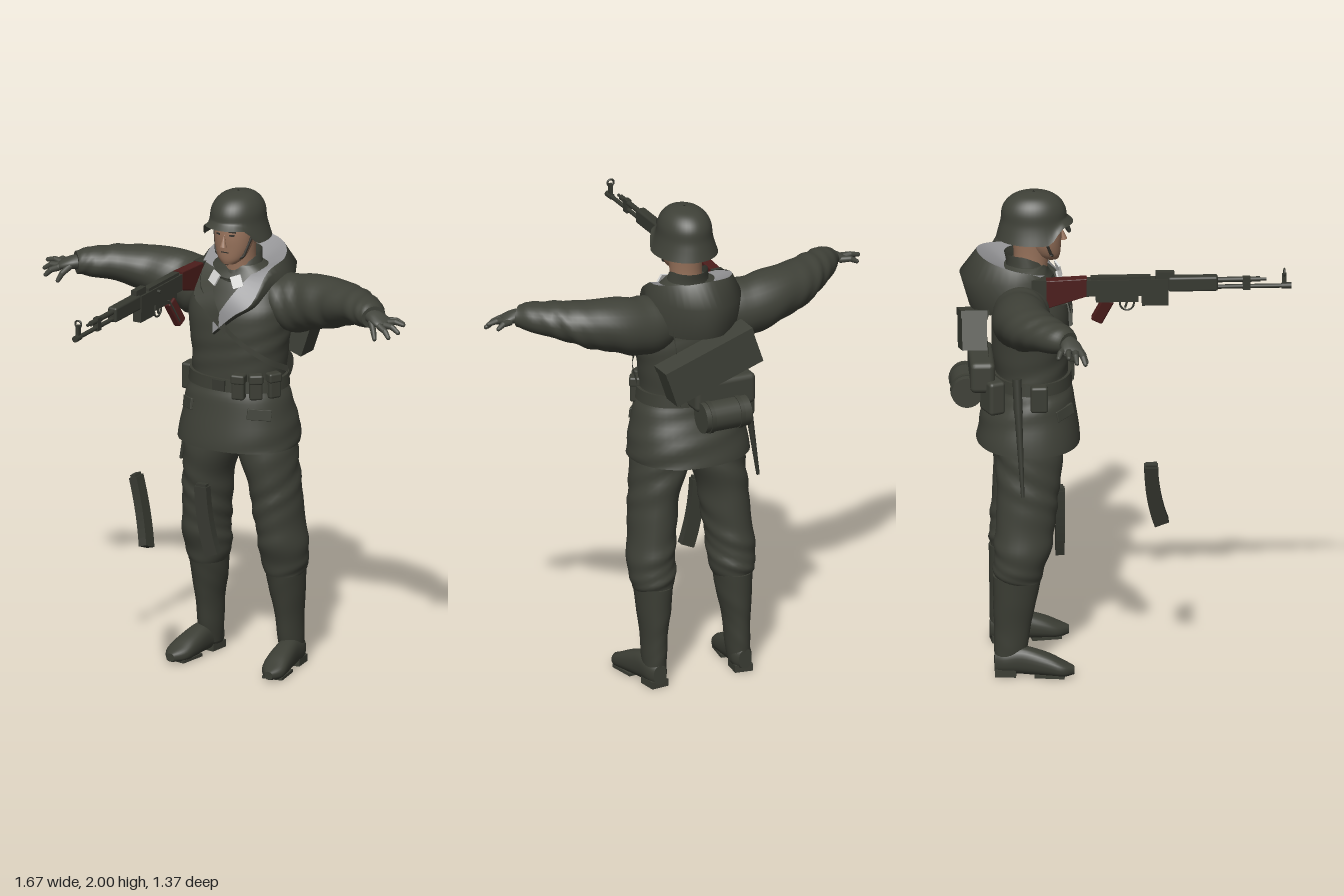
import * as THREE from 'three';
import { RoundedBoxGeometry } from 'three/addons/geometries/RoundedBoxGeometry.js';

const V = (x, y, z) => new THREE.Vector3(x, y, z);

export function createModel() {
  const root = new THREE.Group();
  const mat = (name, color, side = THREE.FrontSide) => {
    const m = new THREE.MeshStandardMaterial({ color, side });
    m.name = name;
    return m;
  };
  const cloth = mat('field cloth', 0x3f4138, THREE.DoubleSide);
  const boot = mat('boot leather', 0x3b3d34);
  const glove = mat('glove', 0x44463e);
  const steel = mat('gun steel', 0x373931);
  const wood = mat('red brown wood', 0x4c1d1b);
  const skin = mat('skin', 0x97725b);
  const lining = mat('grey lining', 0x949496, THREE.DoubleSide);
  const white = mat('white', 0xd8d8d6);
  const dark = mat('dark detail', 0x33312b);

  const add = (name, geo, m, pos = [0, 0, 0], rot = [0, 0, 0], parent = root) => {
    const mesh = new THREE.Mesh(geo, m);
    mesh.name = name;
    mesh.position.set(...pos);
    mesh.rotation.set(...rot);
    parent.add(mesh);
    return mesh;
  };
  const box = (name, m, size, pos, rot, parent) => add(name, new THREE.BoxGeometry(...size), m, pos, rot, parent);
  const soft = (name, m, size, pos, rot, parent) =>
    add(name, new RoundedBoxGeometry(...size, 2, Math.min(...size) * 0.22), m, pos, rot, parent);
  // straight round bar between two points
  const rod = (name, m, a, b, r, r2 = r, parent = root) => {
    const p = V(...a), q = V(...b), d = q.clone().sub(p);
    const mesh = add(name, new THREE.CylinderGeometry(r2, r, d.length(), 12), m, p.clone().add(q).multiplyScalar(0.5).toArray(), [0, 0, 0], parent);
    mesh.quaternion.setFromUnitVectors(V(0, 1, 0), d.normalize());
  };

  // smooth skin over elliptical cross-sections [x, y, z, a, b, yaw]
  const loft = (name, m, rows, { axis = 'y', n = 28, sub = 5, s = 1, p = 2, folds = 0, caps = true, warp } = {}) => {
    const at = (i) => rows[Math.max(0, Math.min(rows.length - 1, i))];
    const rings = [];
    for (let i = 0; i < rows.length - 1; i++)
      for (let k = 0; k < sub + (i === rows.length - 2 ? 1 : 0); k++) {
        const t = k / sub;
        rings.push([0, 1, 2, 3, 4, 5].map((c) => {
          const [a, b, d, e] = [at(i - 1), at(i), at(i + 1), at(i + 2)].map((r) => r[c] || 0);
          return b + 0.5 * t * (d - a + t * (2 * a - 5 * b + 4 * d - e + t * (3 * (b - d) + e - a)));
        }));
      }
    const pos = [], idx = [];
    const tri = (a, b, c) => (s > 0 ? idx.push(a, b, c) : idx.push(a, c, b));
    const point = (v) => { if (warp) warp(v); pos.push(v.x * s, v.y, v.z); };
    const ring = ([x, y, z, a, b, yaw], r) => {
      const u = axis === 'x' ? V(0, 1, 0) : V(1, 0, 0);
      const w = axis === 'y' ? V(0, 0, 1) : axis === 'z' ? V(0, -1, 0) : V(Math.sin(yaw), 0, -Math.cos(yaw));
      for (let j = 0; j < n; j++) {
        const th = (j / n) * Math.PI * 2, c = Math.cos(th), si = Math.sin(th);
        const f = 1 + folds * Math.sin(r * 0.8 + 2.6 * Math.sin(th + r * 0.23) + th) * Math.cos(r * 0.37 + th);
        const e = (q) => Math.sign(q) * Math.abs(q) ** (2 / p) * f;
        point(V(x, y, z).addScaledVector(u, a * e(c)).addScaledVector(w, b * e(si)));
      }
    };
    rings.forEach(ring);
    const L = rings.length;
    for (let i = 0; i < L - 1; i++)
      for (let j = 0; j < n; j++) {
        const a = i * n + j, b = i * n + ((j + 1) % n);
        tri(a, a + n, b);
        tri(b, a + n, b + n);
      }
    if (caps) [0, L - 1].forEach((r) => {
      const o = pos.length / 3;
      ring(rings[r], r);
      point(V(...rings[r].slice(0, 3)));
      for (let j = 0; j < n; j++) {
        const a = o + j, b = o + ((j + 1) % n);
        r ? tri(a, o + n, b) : tri(a, b, o + n);
      }
    });
    const g = new THREE.BufferGeometry();
    g.setAttribute('position', new THREE.Float32BufferAttribute(pos, 3));
    g.setIndex(idx);
    g.computeVertexNormals();
    add(name, g, m);
  };
  // sheet spanned across several curves
  const sheet = (name, m, lines, n = 48) => {
    const pts = lines.map((l) => new THREE.CatmullRomCurve3(l.map((q) => V(...q))).getPoints(n));
    const g = new THREE.PlaneGeometry(1, 1, n, lines.length - 1);
    pts.flat().forEach((q, i) => g.attributes.position.setXYZ(i, q.x, q.y, q.z));
    g.computeVertexNormals();
    add(name, g, m);
  };
  const mirrored = (half) => [...half.slice(1).reverse().map(([x, y, z]) => [-x, y, z]), ...half];
  const strap = (name, line, w) => sheet(name, cloth, [line, line.map(([x, y, z]) => [x, y - w, z])], 24);

  // jacket and belt
  loft('jacket', cloth, [
    [-0.007, 0.95, -0.365, 0.252, 0.208], [0, 1.05, -0.36, 0.241, 0.193], [0, 1.15, -0.35, 0.218, 0.165],
    [0, 1.22, -0.35, 0.197, 0.148], [0, 1.32, -0.355, 0.2, 0.153], [0, 1.42, -0.355, 0.212, 0.155],
    [0, 1.52, -0.36, 0.215, 0.148], [0, 1.6, -0.37, 0.195, 0.125], [0, 1.66, -0.38, 0.155, 0.1], [0, 1.7, -0.37, 0.09, 0.075],
  ], { n: 44, p: 2.2, folds: 0.016 });
  loft('belt', boot, [[0, 1.195, -0.35, 0.211, 0.163], [0, 1.245, -0.35, 0.206, 0.158]], { n: 44, p: 2.2, sub: 1 });
  box('buckle', steel, [0.055, 0.045, 0.012], [0, 1.22, -0.187]);
  [[0.085, -0.2, 0.2], [0.145, -0.232, 0.6], [0.192, -0.29, 1.05]].forEach(([x, z, r]) => {
    soft('ammoPouch', boot, [0.054, 0.1, 0.045], [x, 1.222, z], [0, r, 0]);
    soft('pouchFlap', boot, [0.058, 0.04, 0.052], [x, 1.258, z], [0, r, 0]);
  });
  [1, -1].forEach((s) => soft('pocketFlap', cloth, [0.1, 0.045, 0.012], [s * 0.165, 1.11, -0.225], [-0.2, s * 0.75, 0]));
  soft('sidePouch', boot, [0.05, 0.11, 0.07], [-0.215, 1.19, -0.33]);
  strap('chestStrap', [[-0.15, 1.68, -0.36], [-0.115, 1.62, -0.235], [0, 1.5, -0.195], [0.1, 1.42, -0.195], [0.19, 1.345, -0.255], [0.22, 1.29, -0.36]], 0.026);
  [1, -1].forEach((s) => strap('backStrap', [[s * 0.13, 1.68, -0.4], [s * 0.14, 1.55, -0.53], [s * 0.12, 1.38, -0.53], [s * 0.1, 1.22, -0.515]], 0.03));

  // arms and hands
  [1, -1].forEach((s) => {
    loft('sleeve', cloth, [
      [0.09, 1.55, -0.39, 0.09, 0.1, 0], [0.2, 1.545, -0.405, 0.12, 0.115, 0], [0.3, 1.558, -0.408, 0.116, 0.112, 0.05],
      [0.42, 1.58, -0.392, 0.103, 0.107, 0.25], [0.5, 1.592, -0.36, 0.085, 0.098, 0.55], [0.58, 1.605, -0.315, 0.071, 0.084, 0.72],
      [0.65, 1.61, -0.262, 0.058, 0.068, 0.75], [0.69, 1.61, -0.236, 0.046, 0.05, 0.75],
    ], { axis: 'x', s, folds: 0.05 });
    loft('palm', glove, [
      [0.675, 1.612, -0.245, 0.03, 0.034, 0.6], [0.71, 1.608, -0.23, 0.027, 0.042, 0.45], [0.745, 1.598, -0.222, 0.02, 0.046, 0.3], [0.762, 1.593, -0.22, 0.012, 0.04, 0.3],
    ], { axis: 'x', s, n: 16 });
    [
      [[0.74, 1.598, -0.258], [0.775, 1.6, -0.272], [0.8, 1.588, -0.28]],
      [[0.752, 1.598, -0.236], [0.79, 1.605, -0.24], [0.825, 1.598, -0.24]],
      [[0.752, 1.594, -0.212], [0.79, 1.592, -0.21], [0.82, 1.573, -0.207]],
      [[0.745, 1.592, -0.19], [0.775, 1.58, -0.18], [0.795, 1.558, -0.172]],
      [[0.7, 1.6, -0.2], [0.722, 1.575, -0.178], [0.735, 1.545, -0.165]],
    ].forEach((f) => {
      const q = f.map(([x, y, z]) => [x * s, y, z]);
      rod('finger', glove, q[0], q[1], 0.014, 0.012);
      rod('finger', glove, q[1], q[2], 0.012, 0.009);
      q.forEach((c, i) => add('knuckle', new THREE.SphereGeometry([0.014, 0.012, 0.009][i], 10, 8), glove, c));
    });

    // legs and boots
    loft('trouserLeg', cloth, [
      [0.178, 0.4, -0.412, 0.074, 0.092], [0.178, 0.45, -0.41, 0.093, 0.103], [0.178, 0.52, -0.396, 0.096, 0.113], [0.172, 0.6, -0.386, 0.095, 0.119],
      [0.16, 0.7, -0.376, 0.098, 0.12], [0.15, 0.8, -0.37, 0.101, 0.127], [0.125, 0.92, -0.366, 0.116, 0.133], [0.115, 1.02, -0.36, 0.112, 0.13],
    ], { s, folds: 0.04 });
    loft('bootShaft', boot, [
      [0.188, 0.04, -0.452, 0.042, 0.055], [0.186, 0.12, -0.442, 0.049, 0.068], [0.184, 0.22, -0.435, 0.053, 0.075],
      [0.18, 0.32, -0.425, 0.068, 0.088], [0.177, 0.42, -0.415, 0.077, 0.098],
    ], { s, folds: 0.015 });
    loft('foot', boot, [
      [0.19, 0.055, -0.508, 0.028, 0.04], [0.19, 0.06, -0.47, 0.045, 0.05], [0.2, 0.066, -0.4, 0.045, 0.058],
      [0.212, 0.05, -0.3, 0.053, 0.046], [0.222, 0.034, -0.235, 0.05, 0.031], [0.228, 0.028, -0.19, 0.018, 0.017],
    ], { axis: 'z', s, p: 2.4 });
    box('heel', boot, [0.076, 0.03, 0.085], [s * 0.192, 0.015, -0.462], [0, s * 0.12, 0]);
    box('sole', boot, [0.086, 0.012, 0.12], [s * 0.216, 0.008, -0.285], [0, s * 0.15, 0]);
  });

  // head
  loft('neck', skin, [[0, 1.64, -0.36, 0.07, 0.07], [0, 1.73, -0.352, 0.064, 0.07], [0, 1.84, -0.35, 0.07, 0.085]]);
  loft('head', skin, [
    [0, 1.715, -0.272, 0.03, 0.03], [0, 1.738, -0.288, 0.056, 0.053], [0, 1.78, -0.302, 0.074, 0.07],
    [0, 1.83, -0.312, 0.081, 0.082], [0, 1.88, -0.33, 0.084, 0.095], [0, 1.93, -0.34, 0.078, 0.088],
  ]);
  add('nose', new THREE.ConeGeometry(0.014, 0.055, 12), skin, [0, 1.82, -0.226], [-0.2, 0, 0]);
  box('mouth', dark, [0.034, 0.004, 0.004], [0, 1.768, -0.234]);
  [1, -1].forEach((s) => {
    box('eye', dark, [0.02, 0.006, 0.005], [s * 0.031, 1.842, -0.236], [0, s * 0.35, 0]);
    box('eyebrow', dark, [0.03, 0.005, 0.005], [s * 0.032, 1.856, -0.238], [0, s * 0.35, s * -0.1]);
    add('ear', new THREE.SphereGeometry(0.022, 12, 8).scale(0.45, 1.2, 0.8), skin, [s * 0.084, 1.82, -0.335]);
    rod('chinStrap', dark, [s * 0.092, 1.85, -0.31], [s * 0.063, 1.75, -0.275], 0.006);
    rod('chinStrap', dark, [s * 0.063, 1.75, -0.275], [0, 1.714, -0.25], 0.006);
  });
  loft('helmet', cloth, [
    [0, 1.81, -0.338, 0.132, 0.155], [0, 1.85, -0.34, 0.118, 0.143], [0, 1.885, -0.341, 0.109, 0.134], [0, 1.93, -0.342, 0.103, 0.128],
    [0, 1.965, -0.342, 0.086, 0.107], [0, 1.99, -0.342, 0.055, 0.068], [0, 2.0, -0.342, 0.005, 0.005],
  ], {
    n: 40, caps: false, warp: (v) => {
      const f = THREE.MathUtils.smoothstep(v.z, -0.29, -0.22);
      if (v.y < 1.9) v.y = 1.9 - (1.9 - v.y) * (1 - 0.7 * f);
    },
  });

  // collar, lapels and lowered hood
  loft('collar', cloth, [[0, 1.64, -0.36, 0.1, 0.1], [0, 1.7, -0.365, 0.087, 0.088], [0, 1.745, -0.378, 0.077, 0.083]], {
    caps: false, warp: (v) => { if (v.y > 1.66) v.y -= 0.05 * THREE.MathUtils.smoothstep(v.z, -0.4, -0.27); },
  });
  [1, -1].forEach((s) => box('collarTab', white, [0.044, 0.05, 0.008], [s * 0.052, 1.65, -0.241], [-0.35, s * 0.3, s * 0.45]));
  const rim = mirrored([[0, 1.755, -0.572], [0.1, 1.742, -0.535], [0.165, 1.718, -0.43], [0.15, 1.685, -0.32], [0.13, 1.57, -0.213], [0.07, 1.525, -0.19], [-0.03, 1.435, -0.186]]);
  const inner = mirrored([[0, 1.68, -0.455], [0.05, 1.68, -0.445], [0.088, 1.68, -0.39], [0.085, 1.67, -0.3], [0.05, 1.61, -0.225], [0.015, 1.55, -0.192], [-0.03, 1.48, -0.188]]);
  const bulge = mirrored([[0, 1.66, -0.64], [0.12, 1.66, -0.59], [0.19, 1.665, -0.44], [0.168, 1.67, -0.31], [0.135, 1.562, -0.22], [0.072, 1.518, -0.198], [-0.03, 1.429, -0.194]]);
  const under = mirrored([[0, 1.52, -0.6], [0.13, 1.52, -0.53], [0.2, 1.58, -0.42], [0.17, 1.62, -0.33], [0.135, 1.555, -0.24], [0.07, 1.51, -0.21], [-0.03, 1.425, -0.2]]);
  sheet('hoodLining', lining, [rim.slice(3), inner.slice(3)]);
  sheet('closedLapel', cloth, [rim.slice(0, 4), inner.slice(0, 4)], 16);
  sheet('hood', cloth, [rim.slice(2), bulge.slice(2), under.slice(2)]);

  // back gear, the box hanging askew
  const pack = new THREE.Group();
  pack.name = 'packBox';
  pack.position.set(0.01, 1.41, -0.588);
  pack.rotation.z = -0.33;
  root.add(pack);
  box('packBody', cloth, [0.405, 0.135, 0.1], [0, -0.013, 0], [0, 0, 0], pack);
  box('packLid', cloth, [0.41, 0.03, 0.106], [0, 0.065, 0], [0, 0, 0], pack);
  soft('blanketBag', cloth, [0.27, 0.13, 0.1], [-0.06, 1.27, -0.555]);
  add('canister', new THREE.CylinderGeometry(0.063, 0.063, 0.2, 24), cloth, [-0.04, 1.19, -0.615], [0, 0, Math.PI / 2]);
  [-0.1, 0.03].forEach((x) => add('canisterBand', new THREE.CylinderGeometry(0.067, 0.067, 0.018, 24), boot, [x, 1.19, -0.615], [0, 0, Math.PI / 2]));
  soft('breadBag', cloth, [0.11, 0.14, 0.07], [-0.165, 1.19, -0.515], [0, 0.4, 0]);
  rod('bayonetGrip', steel, [-0.225, 1.28, -0.42], [-0.245, 1.14, -0.415], 0.018);
  rod('scabbard', steel, [-0.245, 1.14, -0.415], [-0.3, 0.8, -0.4], 0.016, 0.007);

  // rifle, muzzle towards the front
  const gun = new THREE.Group();
  gun.name = 'rifle';
  gun.position.set(-0.16, 0, 0);
  root.add(gun);
  const bar = (name, y, z0, z1, r) => rod(name, steel, [0, y, z0], [0, y, z1], r, r, gun);
  const block = (name, w, y0, y1, z0, z1) => box(name, steel, [w, y1 - y0, z1 - z0], [0, (y0 + y1) / 2, (z0 + z1) / 2], [0, 0, 0], gun);
  bar('barrel', 1.638, 0.3, 0.685, 0.009);
  bar('muzzleNut', 1.638, 0.645, 0.685, 0.013);
  bar('gasTube', 1.668, 0.35, 0.56, 0.011);
  bar('gasPlug', 1.668, 0.56, 0.585, 0.006);
  block('gasBlock', 0.022, 1.625, 1.68, 0.49, 0.52);
  block('frontSightPost', 0.014, 1.63, 1.69, 0.648, 0.666);
  add('frontSightRing', new THREE.TorusGeometry(0.014, 0.004, 8, 16), steel, [0, 1.695, 0.657], [0, 0, 0], gun);
  soft('handguard', steel, [0.042, 0.062, 0.2], [0, 1.656, 0.29], [0, 0, 0], gun);
  block('receiver', 0.042, 1.612, 1.68, -0.14, 0.19);
  block('receiverTop', 0.03, 1.68, 1.692, -0.12, 0.12);
  block('rearSight', 0.026, 1.68, 1.708, 0.14, 0.215);
  block('magazineWell', 0.036, 1.568, 1.615, 0.085, 0.19);
  block('triggerHousing', 0.034, 1.585, 1.615, -0.1, 0.07);
  add('triggerGuard', new THREE.TorusGeometry(0.028, 0.004, 8, 18), steel, [0, 1.573, 0.025], [0, Math.PI / 2, 0], gun);
  box('trigger', steel, [0.008, 0.03, 0.008], [0, 1.57, 0.022], [0.3, 0, 0], gun);
  soft('pistolGrip', wood, [0.034, 0.115, 0.05], [0.022, 1.54, -0.072], [0.45, 0, 0.2], gun);
  box('gripFrontStrap', steel, [0.032, 0.112, 0.006], [0.022, 1.551, -0.049], [0.45, 0, 0.2], gun);
  const stock = new THREE.Shape([[0.14, 1.685], [0.14, 1.615], [0.3, 1.565], [0.3, 1.678]].map(([x, y]) => new THREE.Vector2(x, y)));
  add('stock', new THREE.ExtrudeGeometry(stock, { depth: 0.036, bevelSize: 0.004, bevelThickness: 0.004, bevelSegments: 2 }), wood, [-0.018, 0, 0], [0, Math.PI / 2, 0], gun);
  block('buttPlate', 0.046, 1.55, 1.684, -0.36, -0.3);
  rod('chargingHandle', steel, [0.015, 1.665, 0.06], [0.035, 1.665, 0.06], 0.007, 0.007, gun);

  // curved spare magazines
  const magazine = (pos, yaw, lean) => {
    const g = new THREE.Group();
    g.name = 'magazine';
    g.position.set(...pos);
    g.rotation.z = lean;
    root.add(g);
    const sh = new THREE.Shape();
    sh.moveTo(-0.028, 0);
    sh.quadraticCurveTo(-0.026, -0.16, 0.018, -0.295);
    sh.lineTo(0.074, -0.272);
    sh.quadraticCurveTo(0.032, -0.15, 0.028, 0);
    const geo = new THREE.ExtrudeGeometry(sh, { depth: 0.036, bevelEnabled: false, curveSegments: 8 }).translate(0, 0, -0.018);
    add('magazineBody', geo, steel, [0, 0, 0], [0, yaw, 0], g);
    add('magazineLip', new THREE.BoxGeometry(0.046, 0.012, 0.024), steel, [0, 0.005, 0], [0, yaw, 0], g);
  };
  magazine([-0.205, 0.89, 0.12], -Math.PI / 2, 0.27);
  magazine([-0.108, 0.76, -0.24], 0, 0.02);

  return root;
}
